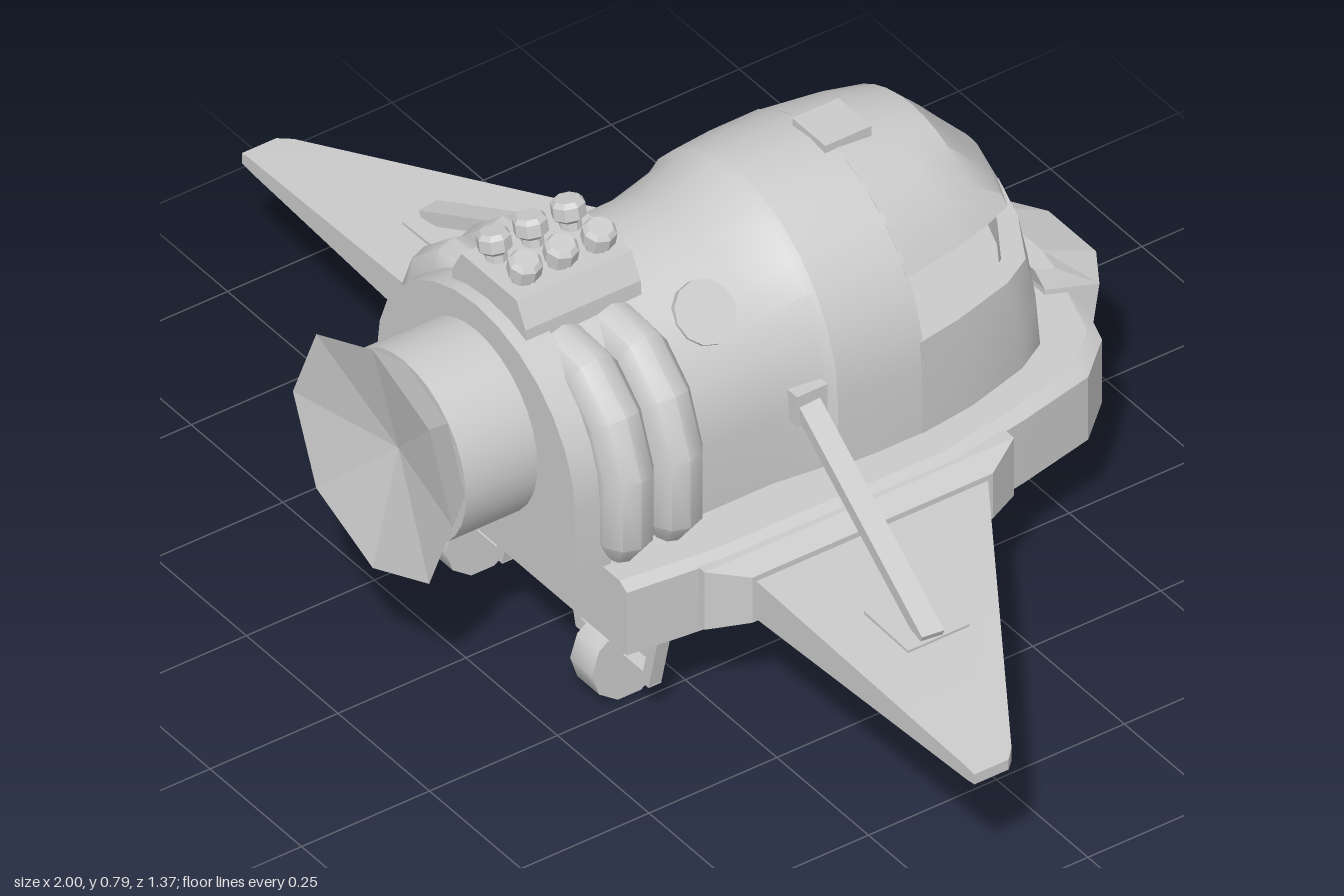
import * as THREE from 'three';
import { toCreasedNormals } from 'three/addons/utils/BufferGeometryUtils.js';

const mat = new THREE.MeshStandardMaterial({ color: 0xcccccc });
const matDouble = new THREE.MeshStandardMaterial({ color: 0xcccccc, side: THREE.DoubleSide });

function add(parent, name, geo, material = mat) {
  const mesh = new THREE.Mesh(geo, material);
  mesh.name = name;
  parent.add(mesh);
  return mesh;
}

// Skin closed rings of points (counter-clockwise about the travel direction), capped at both ends
function loft(rings, crease = 0.5) {
  const pos = [];
  const tri = (...pts) => pts.forEach((p) => pos.push(p[0], p[1], p[2]));
  const n = rings[0].length;
  const centre = (r) => [0, 1, 2].map((k) => r.reduce((s, p) => s + p[k], 0) / n);
  const first = rings[0], last = rings[rings.length - 1];
  const c0 = centre(first), c1 = centre(last);
  for (let i = 0; i < n; i++) {
    const j = (i + 1) % n;
    for (let s = 0; s < rings.length - 1; s++) {
      const A = rings[s], B = rings[s + 1];
      tri(A[i], A[j], B[j]);
      tri(A[i], B[j], B[i]);
    }
    tri(c0, first[j], first[i]);
    tri(c1, last[i], last[j]);
  }
  const geo = new THREE.BufferGeometry();
  geo.setAttribute('position', new THREE.Float32BufferAttribute(pos, 3));
  geo.computeVertexNormals();
  return toCreasedNormals(geo, crease);
}

// Mirrored plan outline at height y, from half points listed rear to nose
function plan(y, half) {
  const right = half.map(([x, z]) => [x, y, z]);
  const left = half.filter((p) => p[0] > 0).map(([x, z]) => [-x, y, z]).reverse();
  return [...right, ...left];
}

// Rectangle across x, for wings and fairings
const rect = (x, y0, y1, z0, z1) => [[x, y1, z0], [x, y1, z1], [x, y0, z1], [x, y0, z0]];

// Fuselage arch: straight sides, elliptical top
function arch(z, w, top, bottom = 0.31, spring = 0.45, steps = 14) {
  const pts = [[w, bottom, z]];
  for (let i = 0; i <= steps; i++) {
    const a = (Math.PI * i) / steps;
    pts.push([w * Math.cos(a), spring + (top - spring) * Math.sin(a), z]);
  }
  pts.push([-w, bottom, z]);
  return pts;
}

// Upper slice of the same arch above the window line
function roofArch(z, w, top, steps = 14) {
  const a0 = Math.asin(0.52), base = 0.605, pts = [];
  for (let i = 0; i <= steps; i++) {
    const a = a0 + ((Math.PI - 2 * a0) * i) / steps;
    const rise = (Math.sin(a) - 0.52) / 0.48;
    pts.push([(w * Math.cos(a)) / Math.cos(a0), base + (top - base) * rise, z]);
  }
  return pts;
}

// Straight rectangular bar between two points
function bar(parent, name, a, b, w, h) {
  const A = new THREE.Vector3(...a), B = new THREE.Vector3(...b);
  const m = add(parent, name, new THREE.BoxGeometry(w, h, A.distanceTo(B)));
  m.position.copy(A).add(B).multiplyScalar(0.5);
  m.lookAt(B);
  return m;
}

// Everything that exists once per side, built for +x
function buildSide(name) {
  const g = new THREE.Group();
  g.name = name;
  add(g, 'wingFairing', loft([
    rect(0.3, 0.195, 0.31, -0.31, 0.295),
    rect(0.365, 0.195, 0.31, -0.31, 0.295),
    rect(0.405, 0.205, 0.295, -0.24, 0.23),
  ], 0.1));
  add(g, 'wing', loft([
    rect(0.39, 0.208, 0.285, -0.24, 0.222),
    rect(0.98, 0.245, 0.27, 0.135, 0.222),
    rect(1.0, 0.248, 0.268, 0.155, 0.222),
  ], 0.1));
  bar(g, 'wingStrut', [0.24, 0.475, 0.02], [0.685, 0.282, 0.08], 0.04, 0.025);
  bar(g, 'strutPad', [0.57, 0.277, 0.07], [0.69, 0.272, 0.07], 0.12, 0.02);
  add(g, 'strutBracket', new THREE.BoxGeometry(0.05, 0.06, 0.06)).position.set(0.25, 0.465, 0.02);

  // Bent intake pipes
  for (const z of [0.288, 0.384]) {
    const path = [[0.05, 0.635], [0.18, 0.625], [0.235, 0.575], [0.268, 0.49], [0.268, 0.37], [0.255, 0.33]];
    const rings = path.map(([x, y], i) => {
      const p = path[Math.max(i - 1, 0)], q = path[Math.min(i + 1, path.length - 1)];
      const len = Math.hypot(q[0] - p[0], q[1] - p[1]);
      const nx = -(q[1] - p[1]) / len, ny = (q[0] - p[0]) / len;
      const r = i === path.length - 1 ? 0.03 : 0.05;
      return Array.from({ length: 10 }, (_, k) => {
        const a = (-k / 10) * Math.PI * 2;
        return [x + nx * r * Math.cos(a), y + ny * r * Math.cos(a), z - r * Math.sin(a)];
      }).reverse();
    });
    add(g, 'intakePipe', loft(rings, 0.7), matDouble);
  }

  // Leaning exhaust caps
  for (const z of [0.27, 0.344, 0.415]) {
    const cap = add(g, 'exhaustCap', toCreasedNormals(new THREE.LatheGeometry(
      [[0, 0], [0.019, 0], [0.019, 0.02], [0.029, 0.028], [0.029, 0.05], [0.022, 0.058], [0, 0.058]]
        .map(([x, y]) => new THREE.Vector2(x, y)), 8), 0.4));
    cap.position.set(0.033, 0.736, z);
    cap.rotation.z = -0.22;
  }
  return g;
}

// Wheel with a forked bracket
function buildWheel(x, z) {
  const g = new THREE.Group();
  g.name = 'landingWheel';
  const tyre = add(g, 'tyre', toCreasedNormals(new THREE.CylinderGeometry(0.073, 0.073, 0.06, 10), 0.7));
  tyre.rotation.z = Math.PI / 2;
  tyre.position.y = 0.073;
  bar(g, 'axle', [-0.1, 0.078, 0], [0.1, 0.078, 0], 0.025, 0.024);
  for (const s of [-1, 1]) bar(g, 'forkLeg', [s * 0.09, 0.07, 0], [s * 0.12, 0.195, 0], 0.025, 0.02);
  g.position.set(x, 0, z);
  return g;
}

export function createModel() {
  const model = new THREE.Group();
  model.name = 'spacecraft';

  // Lower hull and belly plate
  const hull = [[0.335, 0.425], [0.355, 0.25], [0.36, -0.2], [0.335, -0.35], [0.302, -0.5], [0.235, -0.575], [0.1, -0.62]];
  const inset = hull.map(([x, z]) => [x - 0.02, z > 0.4 ? z : z + 0.015]);
  add(model, 'lowerHull', loft([plan(0.183, hull), plan(0.308, hull), plan(0.32, inset)], 0.3));
  add(model, 'bellyPlate', new THREE.BoxGeometry(0.26, 0.02, 0.72)).position.set(0, 0.176, -0.235);

  // Nose block
  add(model, 'noseBlock', loft([
    plan(0.17, [[0.1, -0.56], [0.13, -0.62], [0.065, -0.66]]),
    plan(0.33, [[0.1, -0.56], [0.137, -0.64], [0.065, -0.685]]),
    plan(0.365, [[0.085, -0.55], [0.1, -0.58], [0.05, -0.59]]),
  ], 0.1));

  // Main fuselage with the shoulder step behind the cabin
  add(model, 'fuselage', loft([
    arch(-0.195, 0.28, 0.748), arch(-0.1, 0.28, 0.747), arch(-0.03, 0.275, 0.742),
    arch(-0.015, 0.262, 0.732), arch(0.08, 0.25, 0.7), arch(0.43, 0.25, 0.69),
  ], 0.45));
  add(model, 'rearBulkhead', loft([arch(0.41, 0.27, 0.7), arch(0.48, 0.27, 0.7)], 0.45));

  // Cabin wall with a recessed sill
  const wall = [[0.282, -0.19], [0.268, -0.3], [0.235, -0.42], [0.2, -0.48], [0.1, -0.535], [0, -0.568]];
  const scaled = (y, sx, dz) => plan(y, wall.map(([x, z], i) => [x * sx, i ? z + dz : z]));
  add(model, 'cabinWall', loft([
    scaled(0.31, 1, 0), scaled(0.42, 1, 0.01), scaled(0.5, 0.985, 0.027),
    scaled(0.5, 0.88, 0.06), scaled(0.45, 0.88, 0.06),
  ], 0.55));

  // Cabin roof overhanging the window opening
  add(model, 'cabinRoof', loft([
    roofArch(-0.485, 0.02, 0.607), roofArch(-0.46, 0.11, 0.63), roofArch(-0.43, 0.18, 0.662),
    roofArch(-0.37, 0.203, 0.725), roofArch(-0.3, 0.222, 0.738), roofArch(-0.19, 0.239, 0.748),
  ], 0.5));
  add(model, 'roofHatch', new THREE.BoxGeometry(0.09, 0.02, 0.09)).position.set(0, 0.747, -0.215);

  // Round hatch on one shoulder
  const hatch = add(model, 'roundHatch', toCreasedNormals(new THREE.CylinderGeometry(0.055, 0.055, 0.05, 12), 0.6));
  hatch.position.set(0.148, 0.625, 0.15);
  hatch.rotation.z = -0.8;

  // Engine manifold box
  add(model, 'manifold', loft([
    plan(0.575, [[0.11, 0.455], [0.11, 0.23]]),
    plan(0.7, [[0.1, 0.455], [0.1, 0.23]]),
    plan(0.745, [[0.075, 0.455], [0.075, 0.23]]),
  ], 0.1));

  // Engine barrel and flared nozzle with a shallow conical throat
  const barrel = add(model, 'engineBarrel', new THREE.CylinderGeometry(0.168, 0.168, 0.16, 32));
  barrel.rotation.x = Math.PI / 2;
  barrel.position.set(0, 0.482, 0.54);
  const bell = [[0, 0], [0.15, 0], [0.218, 0.08], [0, 0.03]].map(([x, y]) => new THREE.Vector2(x, y));
  const nozzle = add(model, 'nozzle', toCreasedNormals(new THREE.LatheGeometry(bell, 8), 0.1), matDouble);
  nozzle.rotation.x = Math.PI / 2;
  nozzle.position.set(0, 0.482, 0.602);

  // Landing gear
  model.add(buildWheel(0.2, 0.345), buildWheel(-0.2, 0.345), buildWheel(0, -0.45));

  // Left and right sides
  const right = buildSide('rightSide');
  right.scale.x = -1;
  model.add(buildSide('leftSide'), right);
  return model;
}
